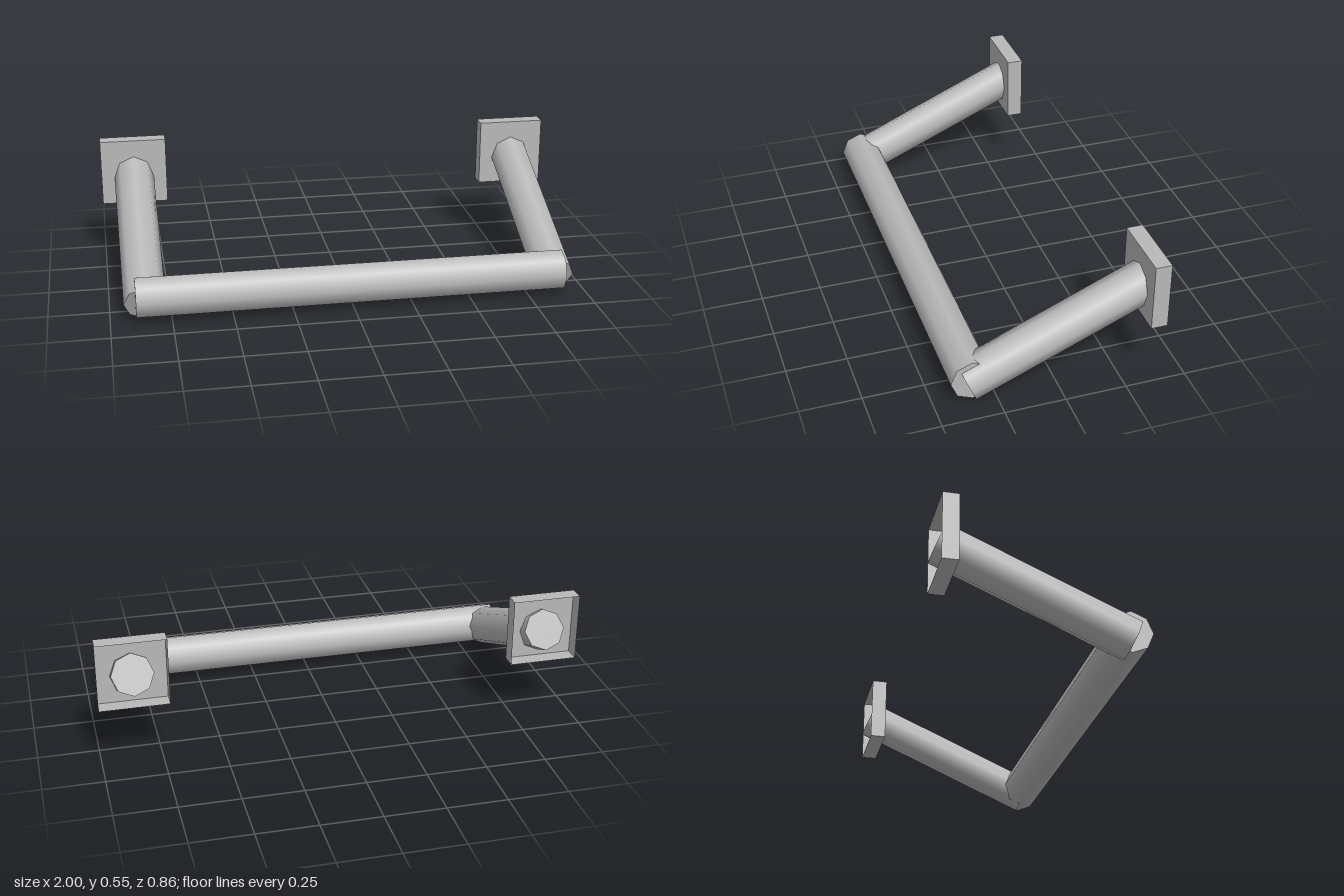
import * as THREE from 'three';

export function createModel() {
  const model = new THREE.Group();
  model.name = 'wallHandle';
  const steel = new THREE.MeshStandardMaterial({ color: 0xb8b8b8, side: THREE.DoubleSide });
  steel.name = 'satin grey';

  // Eight-sided, smooth-shaded rod running between two points
  function rod(name, from, to, radius) {
    const axis = to.clone().sub(from);
    const mesh = new THREE.Mesh(new THREE.CylinderGeometry(radius, radius, axis.length(), 8), steel);
    mesh.name = name;
    mesh.position.copy(from).add(to).multiplyScalar(0.5);
    mesh.quaternion.setFromUnitVectors(new THREE.Vector3(0, 1, 0), axis.normalize());
    model.add(mesh);
  }

  // Grip bar across the front
  rod('gripBar', new THREE.Vector3(-0.895, 0.103, 0.346), new THREE.Vector3(0.895, 0.103, 0.346), 0.087);

  for (const [label, side] of [['left', 1], ['right', -1]]) {
    // Sloping arm that pokes through the mounting plate
    rod(label + 'Arm', new THREE.Vector3(side * 0.858, 0.082, 0.361),
      new THREE.Vector3(side * 0.858, 0.409, -0.396), 0.086);

    // Mounting plate: shallow tray, open at the back
    const tray = new THREE.BoxGeometry(0.284, 0.284, 0.067);
    tray.setIndex(Array.from(tray.index.array).slice(0, 30)); // drop the back face
    tray.clearGroups();
    const plate = new THREE.Mesh(tray, steel);
    plate.name = label + 'MountingPlate';
    plate.position.set(side * 0.858, 0.409, -0.3735);
    model.add(plate);
  }
  return model;
}
